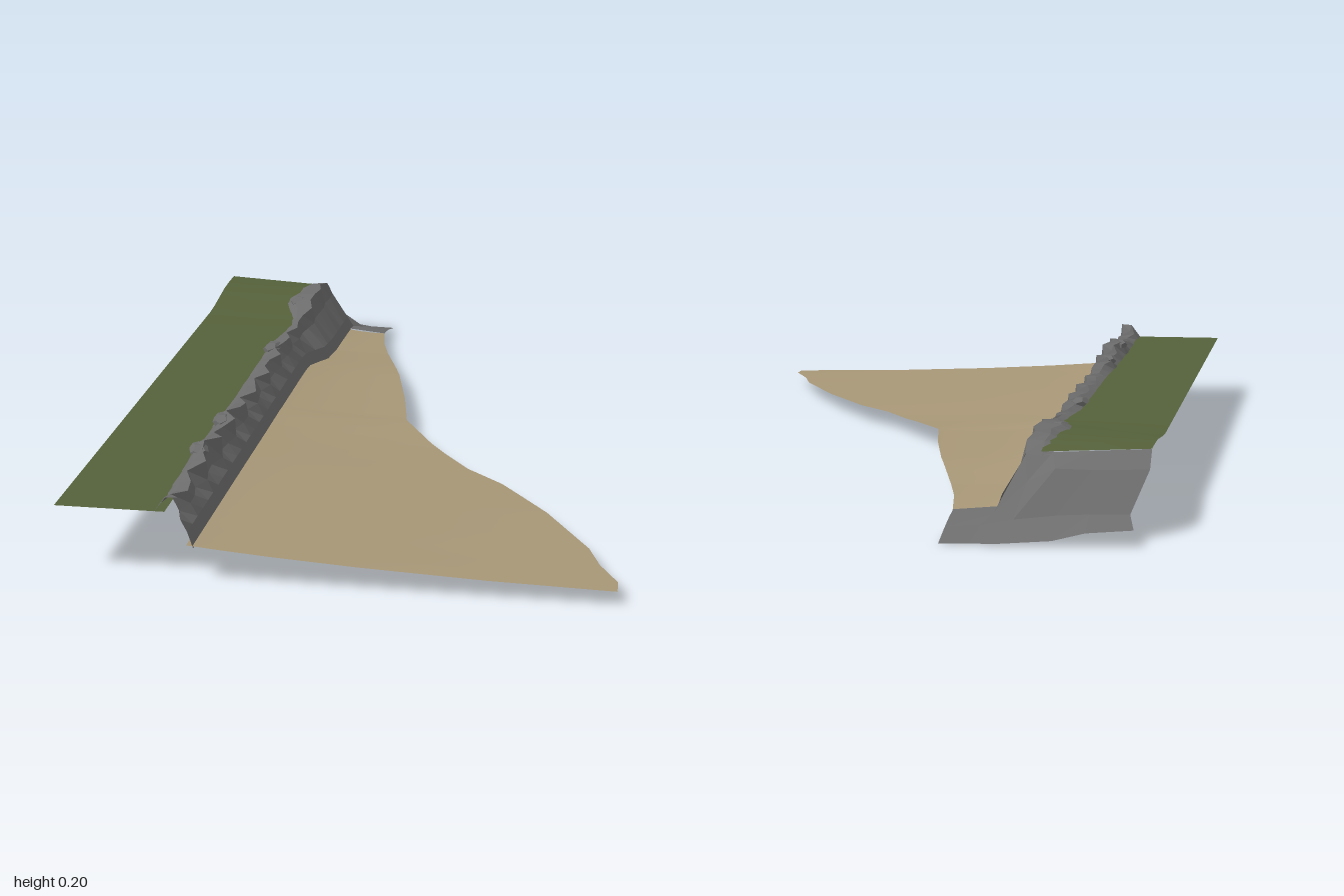
import * as THREE from 'three';

const mat = (name, color) => {
  const m = new THREE.MeshStandardMaterial({ color, side: THREE.DoubleSide });
  m.name = name;
  return m;
};

// Piecewise linear lookup in a list of [z, value] pairs sorted by z
function at(table, z) {
  if (z <= table[0][0]) return table[0][1];
  for (let i = 1; i < table.length; i++) {
    const [z0, v0] = table[i - 1], [z1, v1] = table[i];
    if (z <= z1) return v0 + (v1 - v0) * (z - z0) / (z1 - z0);
  }
  return table[table.length - 1][1];
}

// Open sheet through rows of points: rows run back to front, points run right to left (+x)
function sheet(name, rows, material, faceted) {
  const n = rows[0].length, index = [];
  for (let r = 0; r < rows.length - 1; r++) {
    for (let i = 0; i < n - 1; i++) {
      const a = r * n + i, c = a + n;
      index.push(a, c, a + 1, a + 1, c, c + 1);
    }
  }
  let geo = new THREE.BufferGeometry();
  geo.setAttribute('position', new THREE.Float32BufferAttribute(rows.flat(2), 3));
  geo.setIndex(index);
  if (faceted) geo = geo.toNonIndexed();
  geo.computeVertexNormals();
  const mesh = new THREE.Mesh(geo, material);
  mesh.name = name;
  return mesh;
}

const range = (a, b, n) => Array.from({ length: n + 1 }, (_, i) => a + (b - a) * i / n);

// Outline and height tables along the shore
const shoreX = [[-0.83, -0.175], [-0.7, -0.155], [-0.6, -0.13], [-0.37, -0.065], [-0.17, -0.02], [0, 0.01],
  [0.14, 0.09], [0.3, 0.2], [0.39, 0.29], [0.56, 0.41], [0.76, 0.52], [0.85, 0.55], [0.94, 0.595], [0.99, 0.597]];
const shoreY = [[-0.83, 0.035], [-0.6, 0.045], [-0.4, 0.06], [0, 0.058], [0.2, 0.045], [0.5, 0.042], [0.99, 0.034]];
const footX = [[-0.83, -0.27], [-0.45, -0.27], [-0.4, -0.3], [0.99, -0.3]];
const footY = [[-0.83, 0.045], [-0.6, 0.05], [-0.42, 0.07], [-0.3, 0.08], [0.99, 0.085]];
const grassOuterY = [[-0.83, 0.183], [-0.72, 0.183], [-0.55, 0.163], [0.99, 0.16]];
const grassInnerY = [[-0.83, 0.168], [-0.75, 0.185], [-0.6, 0.185], [-0.45, 0.165], [0.99, 0.158]];
const rimY = [[-0.83, 0.165], [-0.76, 0.195], [-0.6, 0.197], [-0.48, 0.178], [-0.35, 0.172], [-0.25, 0.178],
  [0.25, 0.172], [0.4, 0.19], [0.5, 0.18], [0.64, 0.2], [0.8, 0.178], [0.9, 0.17], [0.99, 0.192]];
const rimX = [[-0.83, -0.39], [-0.68, -0.39], [-0.6, -0.41], [-0.53, -0.39], [-0.45, -0.365], [-0.28, -0.385], [0.99, -0.385]];

export function createModel() {
  const grass = mat('grass', 0x55613a);
  const sand = mat('sand', 0xa89777);
  const rock = mat('rock', 0x6d6d6d);
  const model = new THREE.Group();
  model.name = 'coastStrip';

  // Grassy plateau
  model.add(sheet('grassPlateau', range(-0.825, 0.99, 30).map(z => {
    const inner = at(rimX, z) + 0.025, y0 = at(grassOuterY, z), y1 = at(grassInnerY, z);
    return [0, 0.5, 1].map(t => [-0.6 + (inner + 0.6) * t, y0 + (y1 - y0) * t, z]);
  }), grass, false));

  // Beach, sloping from the cliff foot to the waterline
  const beachRows = [...new Set([...range(-0.825, 0.99, 32), ...shoreX.map(p => p[0])])]
    .filter(z => z >= -0.825).sort((a, b) => a - b);
  model.add(sheet('beach', beachRows.map(z => {
    const x0 = at(footX, z) - 0.015, x1 = at(shoreX, z), y0 = at(footY, z), y1 = at(shoreY, z);
    return [0, 0.08, 0.2, 0.4, 0.7, 1].map(t => {
      const fall = 1 - Math.pow(1 - t, 2.2);
      const hollow = z > 0 ? 0.006 * Math.sin(Math.PI * t) : 0;
      return [x0 + (x1 - x0) * t, y0 + (y1 - y0) * fall + hollow, z];
    });
  }), sand, false));

  // Rocky cliff with a jagged rim
  model.add(sheet('cliff', range(-0.83, 0.99, 36).map((z, i) => {
    const jag = 0.012 * Math.sin(i * 2.3) + 0.006 * Math.sin(i * 4.1);
    const top = at(rimY, z), left = at(rimX, z), fx = at(footX, z), fy = at(footY, z);
    const back = z < -0.45 ? 0.01 : 0;
    return [
      [left, at(grassInnerY, z) - 0.004, z],
      [left + 0.022 + jag * 0.5, top - 0.004 + jag * 0.2, z],
      [-0.342 + jag + back, top, z],
      [-0.332 + jag * 0.5 + back, 0.143, z],
      [fx - 0.012, fy + 0.03, z],
      [fx, fy - 0.006, z],
    ];
  }), rock, true));

  // Headland falling away at the back end
  model.add(sheet('headland', [
    [[-0.58, 0.04, -0.98], [-0.48, 0.03, -0.98], [-0.41, 0.012, -0.985], [-0.3, 0.005, -1], [-0.24, 0.003, -1], [-0.175, 0.001, -1]],
    [[-0.565, 0.058, -0.91], [-0.48, 0.055, -0.91], [-0.41, 0.05, -0.91], [-0.32, 0.04, -0.92], [-0.25, 0.025, -0.92], [-0.175, 0.02, -0.92]],
    [[-0.6, 0.145, -0.86], [-0.48, 0.14, -0.86], [-0.4, 0.14, -0.86], [-0.34, 0.11, -0.86], [-0.27, 0.04, -0.87], [-0.175, 0.03, -0.87]],
    [[-0.6, 0.182, -0.822], [-0.48, 0.174, -0.822], [-0.39, 0.168, -0.822], [-0.332, 0.163, -0.822], [-0.27, 0.046, -0.822], [-0.175, 0.036, -0.822]],
  ], rock, true));

  // Loose boulders along the rim
  [[-0.37, 0.182, -0.6], [-0.365, 0.17, -0.2], [-0.36, 0.178, 0.42], [-0.36, 0.185, 0.66]].forEach(([x, y, z], i) => {
    const boulder = new THREE.Mesh(new THREE.DodecahedronGeometry(1, 0), rock);
    boulder.name = 'rimBoulder';
    boulder.scale.set(0.022, 0.012, 0.05);
    boulder.rotation.y = i * 0.15 - 0.2;
    boulder.position.set(x, y, z);
    model.add(boulder);
  });

  return model;
}
